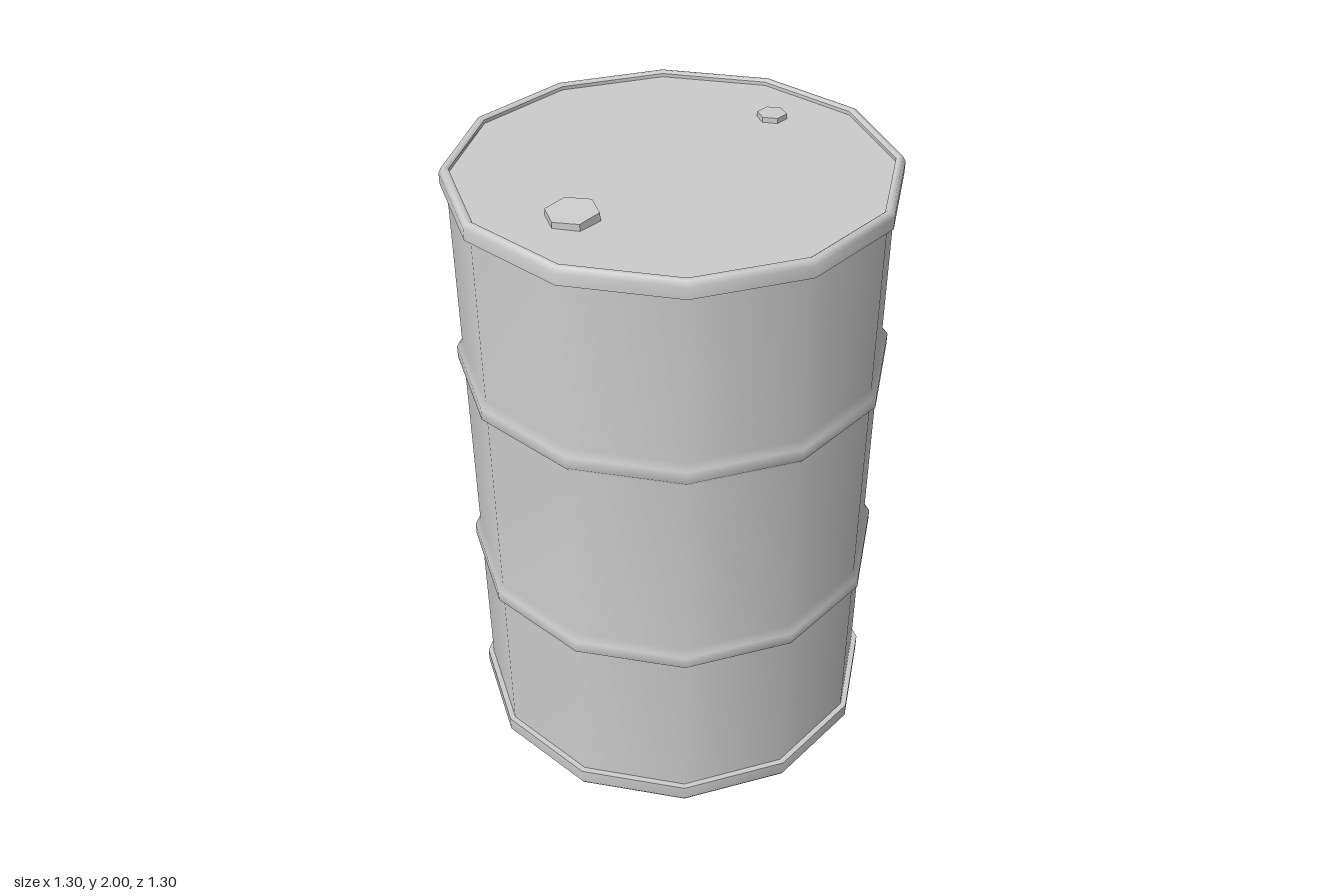
import * as THREE from 'three';

const SIDES = 12;
const material = new THREE.MeshStandardMaterial({ color: 0xcccccc });

// Profile points are [distance to the flat side, height], listed from bottom to top.
function ring(name, profile) {
  const toCorner = 1 / Math.cos(Math.PI / SIDES);
  const points = profile.map(([r, y]) => new THREE.Vector2(r * toCorner, y));
  const mesh = new THREE.Mesh(new THREE.LatheGeometry(points, SIDES, Math.PI / SIDES), material);
  mesh.name = name;
  return mesh;
}

// Six-sided plug with corners pointing along x.
function plug(name, radius, height, x, y, tilt = 0) {
  const geometry = new THREE.CylinderGeometry(radius * 0.97, radius, height, 6, 1, false, Math.PI / 6 * 3);
  const flat = geometry.toNonIndexed();
  flat.computeVertexNormals();
  const mesh = new THREE.Mesh(flat, material);
  mesh.name = name;
  mesh.position.set(x, y, 0);
  mesh.rotation.z = tilt;
  return mesh;
}

export function createModel() {
  const model = new THREE.Group();
  model.name = 'drum';

  // Side wall with two rolled ribs
  const wall = [[0.632, 0.06]];
  for (const y of [0.64, 1.36]) {
    wall.push([0.632, y - 0.04], [0.649, y - 0.02], [0.649, y + 0.02], [0.632, y + 0.04]);
  }
  wall.push([0.632, 1.94]);
  model.add(ring('wall', wall));

  // Bottom plate and rim
  model.add(ring('bottomPlate', [[0, 0], [0.643, 0]]));
  model.add(ring('bottomRim', [[0.643, 0], [0.65, 0.012], [0.65, 0.06]]));
  model.add(ring('bottomRimLedge', [[0.65, 0.06], [0.63, 0.06]]));

  // Top rim and the slightly sunken lid
  model.add(ring('topRimLedge', [[0.63, 1.937], [0.65, 1.937]]));
  model.add(ring('topRim', [[0.65, 1.937], [0.65, 1.972], [0.642, 1.988], [0.63, 1.99], [0.622, 1.983]]));
  model.add(ring('topRimInside', [[0.622, 1.983], [0.622, 1.972]]));
  model.add(ring('lid', [[0.622, 1.972], [0, 1.972]]));

  // Filler plug and vent plug
  model.add(plug('fillerPlug', 0.08, 0.036, -0.41, 1.977, 0.06));
  model.add(plug('ventPlug', 0.047, 0.03, 0.45, 1.973));

  return model;
}
